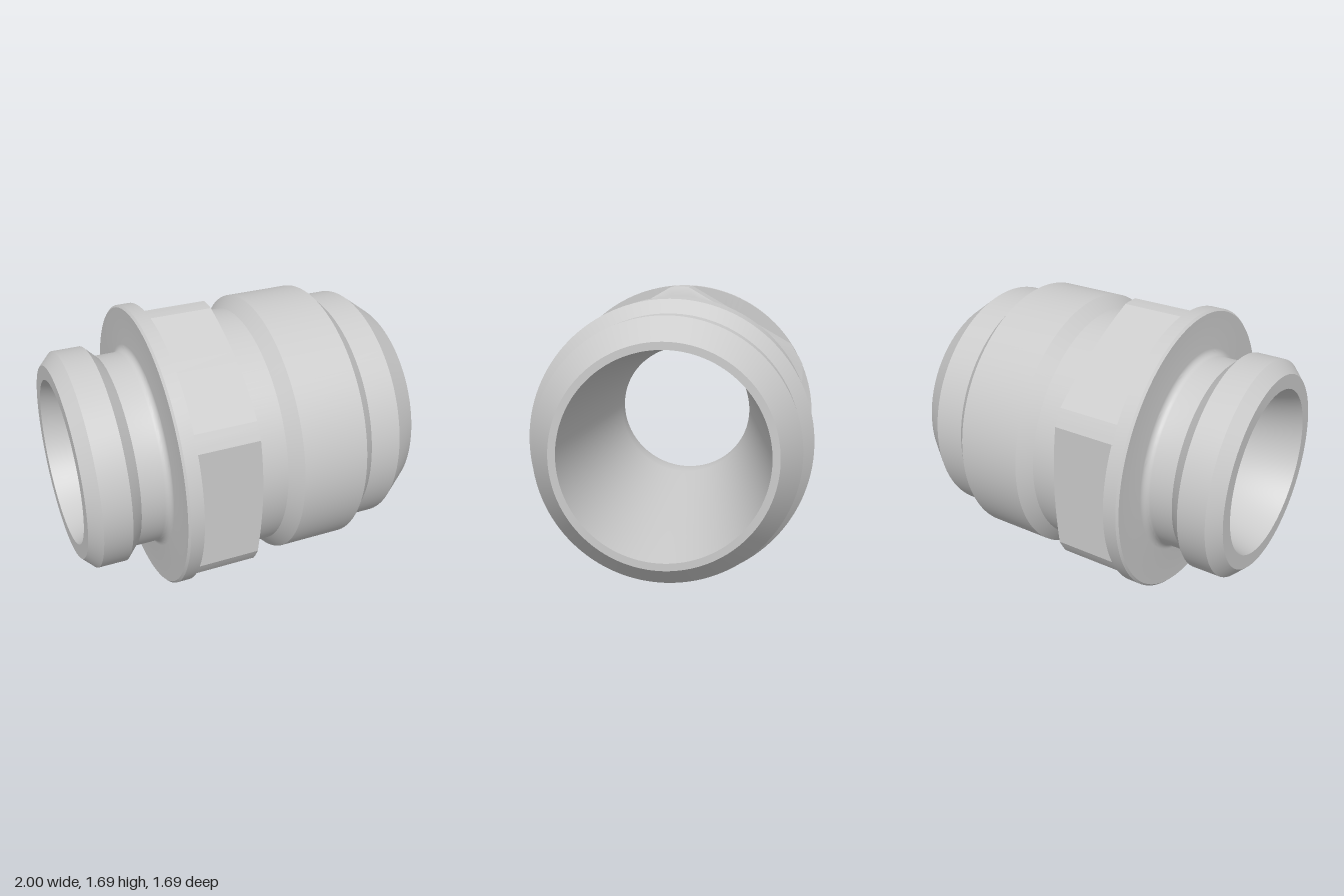
import * as THREE from 'three';
import { toCreasedNormals } from 'three/addons/utils/BufferGeometryUtils.js';

const R = 0.845;        // flange radius, also the height of the axis
const APOTHEM = 0.757;  // hexagon centre to flat
const material = new THREE.MeshStandardMaterial({ color: 0xcccccc });

// Profiles are [axial position, radius]; the lathe axis is laid along x afterwards.
function lathe(profile, segments) {
  return new THREE.LatheGeometry(profile.map(([x, r]) => new THREE.Vector2(r, x)), segments);
}

function addPart(group, name, geometry) {
  geometry.rotateZ(-Math.PI / 2);
  const mesh = new THREE.Mesh(toCreasedNormals(geometry, 0.35), material);
  mesh.name = name;
  mesh.position.y = R;
  group.add(mesh);
}

// Hexagonal nut: flats cut by the flange cylinder, front corners chamfered by a shallow cone
function hexGeometry() {
  const x0 = -0.435, x1 = -0.05, perFace = 14;
  const flatHalf = Math.acos(APOTHEM / R);
  const local = [];
  for (let i = 0; i <= 10; i++) local.push(flatHalf * (i / 5 - 1));
  local.push(flatHalf + (Math.PI / 6 - flatHalf) * 2 / 3, Math.PI / 6,
    flatHalf + (Math.PI / 6 - flatHalf) * 4 / 3);
  const geo = lathe([[x0, R], [x1, R], [x1, APOTHEM], [x1, 0.7]], perFace * 6);
  const pos = geo.attributes.position;
  for (let i = 0; i <= perFace * 6; i++) {
    const a = local[i % perFace];
    const phi = Math.floor(i / perFace) * Math.PI / 3 + a;
    const r = Math.min(R, APOTHEM / Math.cos(a));
    const edge = x1 - 0.26 * (r - APOTHEM);
    [[x0, r], [edge, r], [x1, APOTHEM], [x1, 0.7]].forEach(([x, rad], j) =>
      pos.setXYZ(i * 4 + j, rad * Math.sin(phi), x, rad * Math.cos(phi)));
  }
  return geo;
}

export function createModel() {
  const group = new THREE.Group();
  group.name = 'pipeFitting';

  // Fillet between the groove and the flange
  const fillet = [];
  for (let i = 0; i <= 6; i++) {
    const t = i / 6 * Math.PI / 2;
    fillet.push([-0.56 + 0.04 * Math.sin(t), 0.615 - 0.04 * Math.cos(t)]);
  }
  // Bore: long taper from the wide end, flaring softly towards the narrow end
  const flare = [];
  for (let i = 0; i <= 10; i++) {
    const t = i / 10;
    flare.push([-0.6 - 0.4 * t, 0.435 + 0.055 * t * t]);
  }

  addPart(group, 'body', lathe([
    [-1, 0.49], [-1, 0.575], [-0.93, 0.645], [-0.765, 0.645], [-0.695, 0.575],
    ...fillet,
    [-0.52, 0.833], [-0.508, R], [-0.43, R], [-0.43, 0.725],
    [0.12, 0.725], [0.19, 0.795], [0.58, 0.795], [0.655, 0.72], [0.84, 0.72],
    [1, 0.598], [1, 0.557],
    ...flare,
  ], 128));
  addPart(group, 'hexNut', hexGeometry());
  return group;
}
